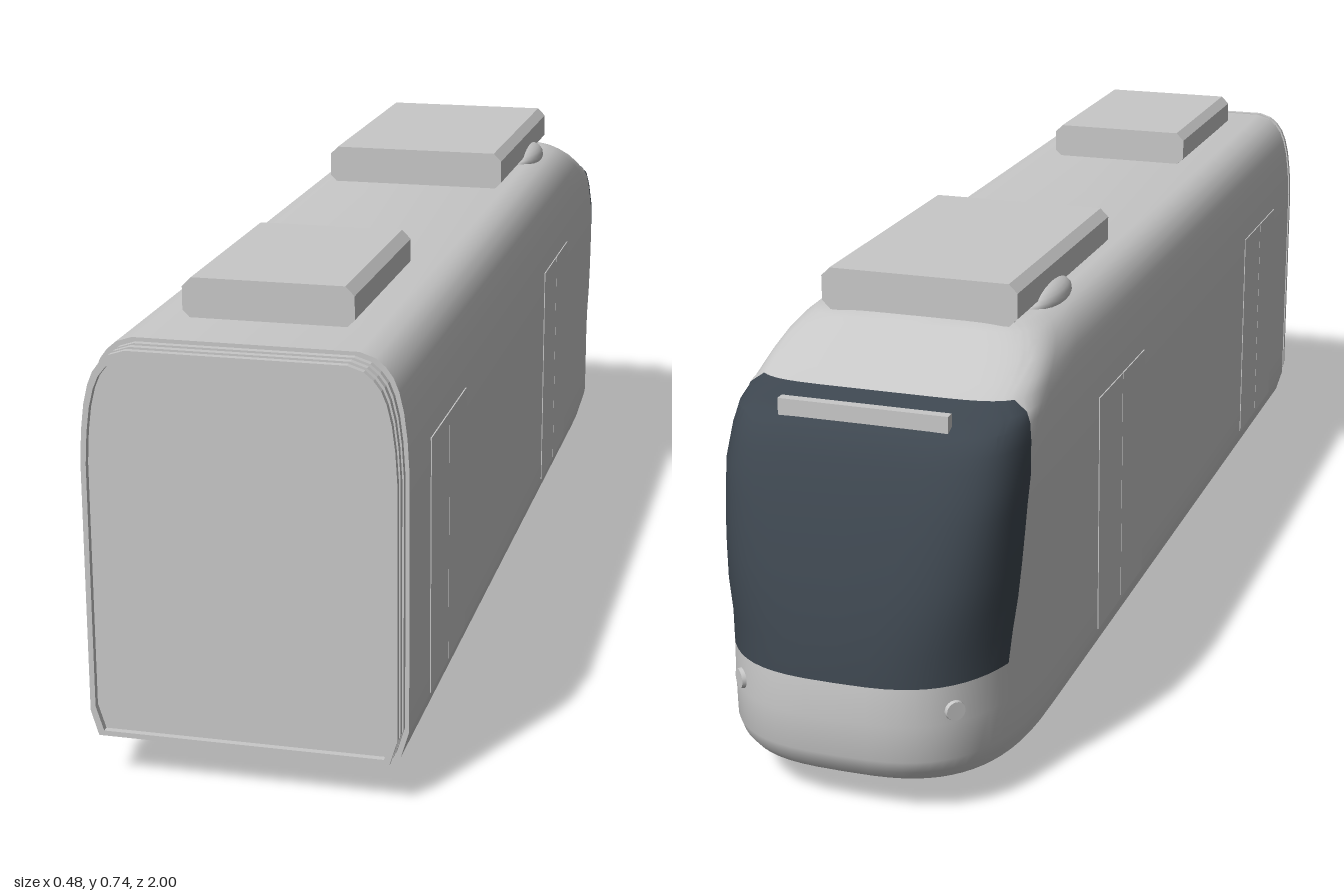
import * as THREE from 'three';
import { toCreasedNormals } from 'three/addons/utils/BufferGeometryUtils.js';

// Linear interpolation in a small [[key, value], ...] table
function lookup(table, k) {
  for (let i = 1; i < table.length; i++) {
    const [k0, v0] = table[i - 1], [k1, v1] = table[i];
    if (k <= k1) return v0 + (v1 - v0) * Math.max(0, (k - k0) / (k1 - k0));
  }
  return table[table.length - 1][1];
}

// Shell rules, all as functions of height
const HALF_WIDTH = [[0.06, 0.228], [0.1, 0.24], [0.5, 0.24], [0.55, 0.237], [0.59, 0.232], [0.62, 0.225],
  [0.64, 0.217], [0.655, 0.206], [0.667, 0.192], [0.675, 0.168]];
const NOSE_TIP = [[0.06, -0.97], [0.08, -0.99], [0.1, -0.997], [0.16, -1], [0.22, -0.998], [0.32, -0.98],
  [0.42, -0.95], [0.5, -0.92], [0.55, -0.895], [0.575, -0.875], [0.59, -0.835], [0.605, -0.79], [0.64, -0.71], [0.675, -0.63]];
const NOSE_START = [[0.06, -0.65], [0.5, -0.65], [0.605, -0.55], [0.675, -0.45]];
const SCREEN_EDGE = [[0.06, -0.85], [0.22, -0.855], [0.45, -0.81], [0.605, -0.765], [0.64, -0.68], [0.675, -0.6]];
const ROUNDNESS = [[0.06, 3], [0.25, 3], [0.605, 6], [0.675, 6]];
const LEVELS = [0.06, 0.08, 0.1, 0.16, 0.22, 0.27, 0.32, 0.37, 0.42, 0.46, 0.5, 0.53, 0.55, 0.575, 0.59, 0.605,
  0.62, 0.64, 0.655, 0.667, 0.675];
const REAR = 0.95, SIDE_STEPS = 5, SCREEN_STEPS = 12;

// Plan outline at one height: rear left, round the nose, rear right
function outline(y) {
  const w = lookup(HALF_WIDTH, y), tip = lookup(NOSE_TIP, y), start = lookup(NOSE_START, y);
  const n = lookup(ROUNDNESS, y), len = start - tip;
  const edge = Math.asin(Math.pow((start - lookup(SCREEN_EDGE, y)) / len, n / 2));
  const half = [[w, REAR]];
  const add = a => half.push([w * Math.pow(Math.max(0, Math.cos(a)), 2 / n), start - len * Math.pow(Math.sin(a), 2 / n)]);
  for (let k = 0; k <= SIDE_STEPS; k++) add(edge * k / SIDE_STEPS);
  for (let k = 1; k <= SCREEN_STEPS; k++) add(edge + (Math.PI / 2 - edge) * k / SCREEN_STEPS);
  half[half.length - 1][0] = 0;
  return [...half, ...half.slice(0, -1).reverse().map(([x, z]) => [-x, z])];
}

// Closed shell; the windscreen faces form the second material group
function shellGeometry() {
  const pos = [], paint = [], glass = [];
  for (const y of LEVELS) for (const [x, z] of outline(y)) pos.push(x, y, z);
  const count = pos.length / 3 / LEVELS.length, last = count - 1, top = LEVELS.length - 1;
  const id = (j, i) => j * count + i;
  const quad = (list, a, b, c, d) => list.push(a, b, c, a, c, d);
  const first = SIDE_STEPS + 1;
  for (let j = 0; j < top; j++) {
    for (let i = 0; i < last; i++) {
      const inScreen = i >= first && i < last - first && LEVELS[j] >= 0.22 && LEVELS[j + 1] <= 0.605;
      quad(inScreen ? glass : paint, id(j, i), id(j, i + 1), id(j + 1, i + 1), id(j + 1, i));
    }
    quad(paint, id(j, last), id(j, 0), id(j + 1, 0), id(j + 1, last));
  }
  for (let i = 0; i < last / 2; i++) {
    quad(paint, id(top, i), id(top, i + 1), id(top, last - i - 1), id(top, last - i));
    quad(paint, id(0, last - i), id(0, last - i - 1), id(0, i + 1), id(0, i));
  }
  const g = new THREE.BufferGeometry();
  g.setAttribute('position', new THREE.Float32BufferAttribute(pos, 3));
  g.setIndex([...paint, ...glass]);
  g.addGroup(0, paint.length, 0);
  g.addGroup(paint.length, glass.length, 1);
  return toCreasedNormals(g, 0.6);
}

// Cross-section of the car body, shrunk inward by a margin
function sectionShape(inset) {
  const right = LEVELS.map(y => new THREE.Vector2(lookup(HALF_WIDTH, y) - inset,
    THREE.MathUtils.mapLinear(y, 0.06, 0.675, 0.063 + inset, 0.675 - inset)));
  return new THREE.Shape([...right, ...right.slice().reverse().map(p => new THREE.Vector2(-p.x, p.y))]);
}

// Roof unit with chamfered long edges
function roofUnit(halfWidth, y0, y1, z0, z1) {
  const c = 0.014, w = halfWidth;
  const shape = new THREE.Shape([[w - c, y0], [w, y0 + c], [w, y1 - c], [w - c, y1], [c - w, y1], [-w, y1 - c],
    [-w, y0 + c], [c - w, y0]].map(([x, y]) => new THREE.Vector2(x, y)));
  return new THREE.ExtrudeGeometry(shape, { depth: z1 - z0, bevelEnabled: false }).translate(0, 0, z0);
}

export function createModel() {
  const model = new THREE.Group();
  const bodyGrey = new THREE.MeshStandardMaterial({ color: 0xc8c8c8 });
  bodyGrey.name = 'bodyGrey';
  const darkGlass = new THREE.MeshStandardMaterial({ color: 0x3d464f });
  darkGlass.name = 'darkGlass';
  const part = (name, geometry, x = 0, y = 0, z = 0, material = bodyGrey) => {
    const mesh = new THREE.Mesh(geometry, material);
    mesh.name = name;
    mesh.position.set(x, y, z);
    model.add(mesh);
    return mesh;
  };
  const box = (w, h, d) => new THREE.BoxGeometry(w, h, d);

  part('bodyAndWindscreen', shellGeometry(), 0, 0, 0, [bodyGrey, darkGlass]);

  // Ribbed gangway at the rear: alternating wide and narrow rings
  for (let k = 0; k < 5; k++) {
    const ring = new THREE.ExtrudeGeometry(sectionShape(k % 2 ? 0.012 : 0.006), { depth: 0.01, bevelEnabled: false });
    if (k === 4) {
      const frame = sectionShape(0.006);
      frame.holes.push(new THREE.Path(sectionShape(0.014).getPoints()));
      part('gangwayFrame', new THREE.ExtrudeGeometry(frame, { depth: 0.01, bevelEnabled: false }), 0, 0, 0.99);
    } else part('gangwayRib', ring, 0, 0, REAR + k * 0.01);
  }

  // Roof equipment
  part('frontRoofUnit', roofUnit(0.162, 0.672, 0.74, -0.63, -0.15));
  part('rearRoofUnit', roofUnit(0.131, 0.672, 0.736, 0.465, 0.83));

  // Destination board above the windscreen
  part('destinationBoard', box(0.27, 0.035, 0.016), 0, 0.587, -0.857);

  // Underframe between the wheels
  part('bogiePlate', box(0.29, 0.012, 0.36), 0, 0.06, 0.18);

  const tread = [[0, -0.013], [0.05, -0.013], [0.053, 0.004], [0.06, 0.007], [0.06, 0.011], [0.05, 0.013], [0, 0.013]];
  const wheel = toCreasedNormals(new THREE.LatheGeometry(tread.map(([r, h]) => new THREE.Vector2(r, h)), 32), 0.5);

  for (const side of [1, -1]) {
    // Wheels, mostly hidden in the floor, flange inward
    for (const z of [0, 0.36]) part('wheel', wheel, side * 0.153, 0.06, z).rotation.z = side * Math.PI / 2;

    // Rounded fairings beside the front roof unit
    part('roofFairing', new THREE.SphereGeometry(1, 20, 12).scale(0.03, 0.026, 0.085), side * 0.155, 0.674, -0.46);

    // Double doors as thin leaves
    for (const [z0, z1] of [[-0.455, -0.19], [0.55, 0.81]]) {
      const w = (z1 - z0) / 2;
      for (const k of [0.5, 1.5])
        part('doorLeaf', box(0.004, 0.408, w - 0.002), side * 0.2395, 0.304, z0 + w * k);
    }

    // Headlamps on the nose corners
    const lamp = part('headlamp', new THREE.CylinderGeometry(0.015, 0.017, 0.012, 20).rotateX(Math.PI / 2),
      side * 0.171, 0.18, -0.95);
    lamp.rotation.y = side * Math.PI * 0.75;
  }
  return model;
}
